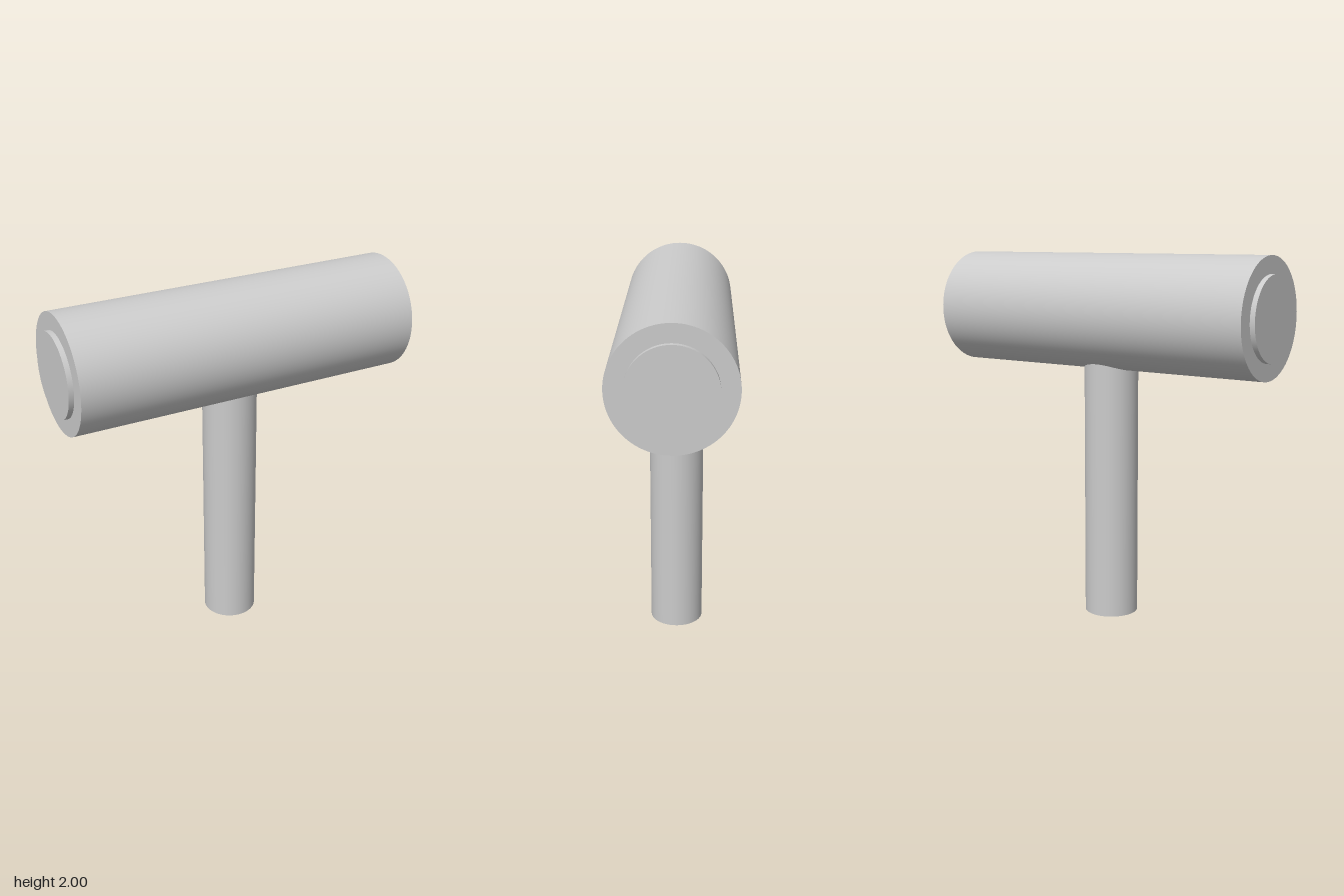
import * as THREE from 'three';

const SEGMENTS = 96;
const HEAD_Y = 1.689, HEAD_R = 0.311, HEAD_HALF = 0.944;
const CAP_R = 0.22, CAP_DEPTH = 0.027;
const HANDLE_R = 0.147, HANDLE_H = 1.45;

export function createModel() {
  const model = new THREE.Group();
  model.name = 'mallet';
  const material = new THREE.MeshStandardMaterial({ color: 0xcccccc });

  function cylinder(name, radius, length) {
    const mesh = new THREE.Mesh(new THREE.CylinderGeometry(radius, radius, length, SEGMENTS), material);
    mesh.name = name;
    model.add(mesh);
    return mesh;
  }

  // Upright handle, its top buried in the head
  cylinder('handle', HANDLE_R, HANDLE_H).position.y = HANDLE_H / 2;

  // Horizontal head
  const head = cylinder('head', HEAD_R, HEAD_HALF * 2);
  head.rotation.z = Math.PI / 2;
  head.position.y = HEAD_Y;

  // Raised striking face on each end
  for (const [name, side] of [['leftFace', 1], ['rightFace', -1]]) {
    const face = cylinder(name, CAP_R, CAP_DEPTH * 2);
    face.rotation.z = -side * Math.PI / 2;
    face.position.set(side * HEAD_HALF, HEAD_Y, 0);
  }

  return model;
}
